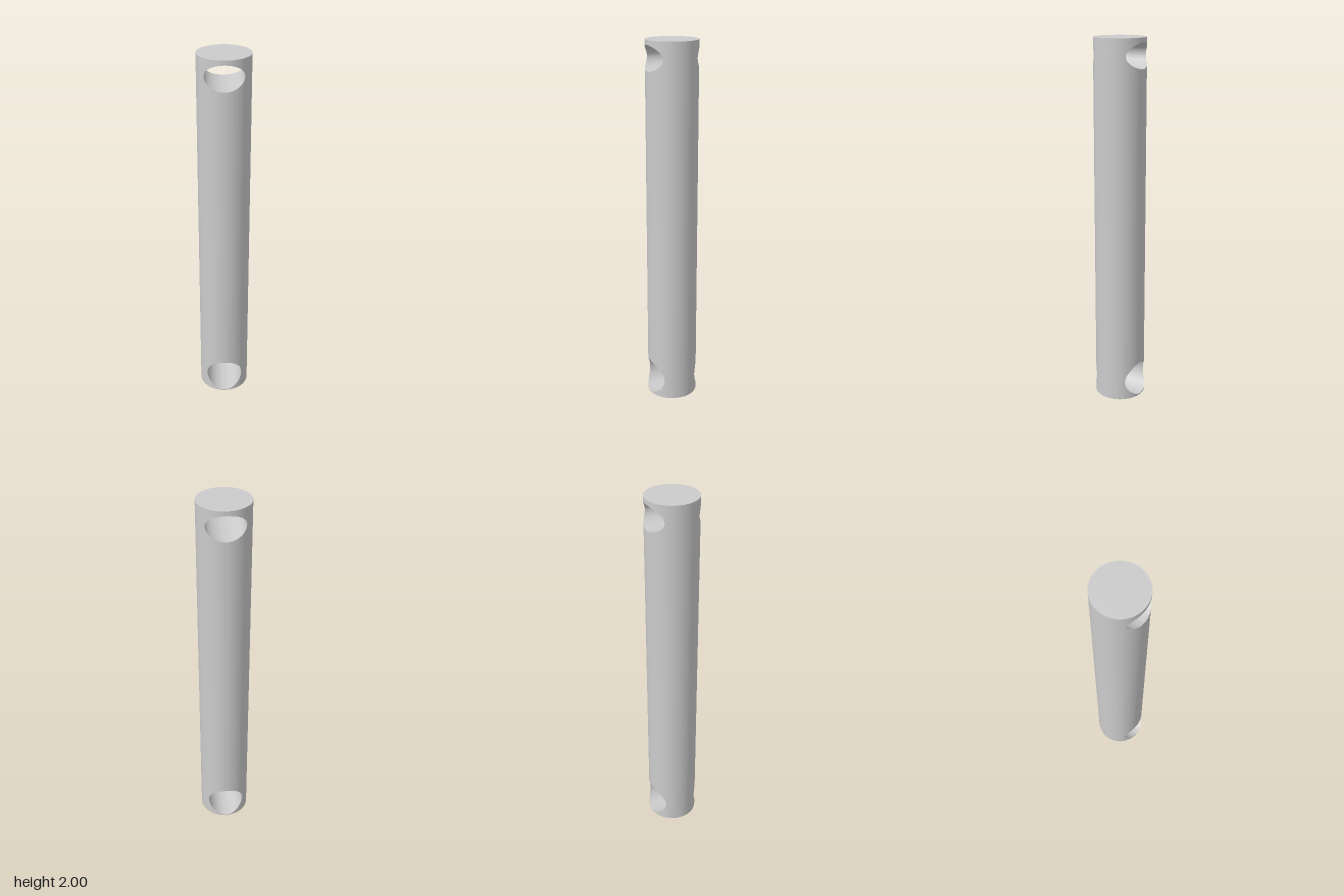
import * as THREE from 'three';
import { toCreasedNormals } from 'three/addons/utils/BufferGeometryUtils.js';

const R = 0.138, HEIGHT = 2;
// Cross-drilled holes running through the rod along z
const HOLES = [
  { name: 'lowerHole', y: 0.105, rx: 0.1, ry: 0.1 },
  { name: 'upperHole', y: 1.91, rx: 0.1, ry: 0.066 },
];

// Column positions across the rod: fine over the holes, then round to each side
function columns() {
  const xs = [];
  const edge = Math.acos(0.1 / R);
  for (let i = 0; i < 10; i++) xs.push(-R * Math.cos((edge * i) / 10));
  for (let i = 0; i <= 40; i++) xs.push(-0.1 * Math.cos((Math.PI * i) / 40));
  for (let i = 9; i >= 0; i--) xs.push(R * Math.cos((edge * i) / 10));
  return xs;
}

const depth = (x) => Math.sqrt(Math.max(0, R * R - x * x));
// Height of a hole's edge at x (side -1 lower, +1 upper)
const rim = (h, side) => (x) => h.y + side * h.ry * Math.sqrt(Math.max(0, 1 - (x / h.rx) ** 2));

// Adds a quad, leaving out collapsed triangles
function quad(out, a, b, c, d, flip) {
  for (const t of [[a, b, c], [a, c, d]]) {
    const area = new THREE.Triangle(...t).getArea();
    if (area < 1e-9) continue;
    if (flip) t.reverse();
    for (const p of t) out.push(p.x, p.y, p.z);
  }
}

// Curved wall between two height curves, on the front and the back
function wall(out, xs, lo, hi) {
  const P = (x, y, s) => new THREE.Vector3(x, y, s * depth(x));
  for (let i = 0; i < xs.length - 1; i++) {
    const [x0, x1] = [xs[i], xs[i + 1]];
    for (const s of [1, -1]) {
      quad(out, P(x0, lo(x0), s), P(x1, lo(x1), s), P(x1, hi(x1), s), P(x0, hi(x0), s), s < 0);
    }
  }
}

// Sheet spanning the rod from front to back along a height curve
function sheet(out, xs, y, facesDown) {
  const P = (x, s) => new THREE.Vector3(x, y(x), s * depth(x));
  for (let i = 0; i < xs.length - 1; i++) {
    const [x0, x1] = [xs[i], xs[i + 1]];
    quad(out, P(x0, 1), P(x1, 1), P(x1, -1), P(x0, -1), facesDown);
  }
}

export function createModel() {
  const group = new THREE.Group();
  group.name = 'drilledRod';
  const material = new THREE.MeshStandardMaterial({ color: 0xcccccc });
  const xs = columns();
  const bottom = () => 0, top = () => HEIGHT;

  const add = (name, fill) => {
    const out = [];
    fill(out);
    const geometry = new THREE.BufferGeometry();
    geometry.setAttribute('position', new THREE.Float32BufferAttribute(out, 3));
    const mesh = new THREE.Mesh(toCreasedNormals(geometry, 0.6), material);
    mesh.name = name;
    group.add(mesh);
  };

  // Outer surface: bands below, between and above the holes
  add('rodWall', (out) => {
    let lo = bottom;
    for (const h of HOLES) {
      wall(out, xs, lo, rim(h, -1));
      lo = rim(h, 1);
    }
    wall(out, xs, lo, top);
  });

  // Flat ends
  add('topCap', (out) => sheet(out, xs, top, false));
  add('bottomCap', (out) => sheet(out, xs, bottom, true));

  // Bores through the rod
  for (const h of HOLES) {
    const inside = xs.filter((x) => Math.abs(x) <= h.rx + 1e-6);
    add(h.name, (out) => {
      sheet(out, inside, rim(h, -1), false);
      sheet(out, inside, rim(h, 1), true);
    });
  }
  return group;
}
